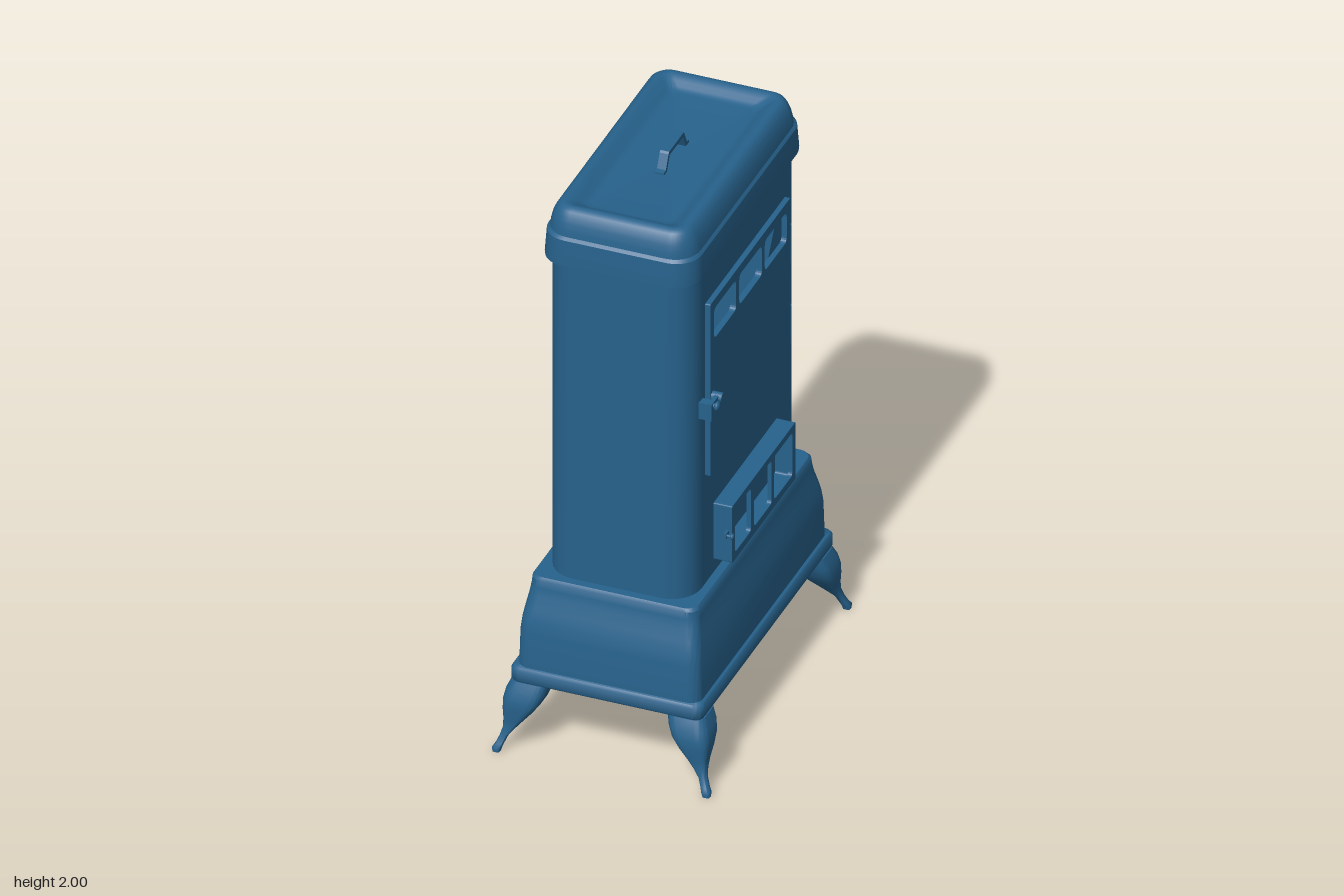
import * as THREE from 'three';
import { toCreasedNormals } from 'three/addons/utils/BufferGeometryUtils.js';

const enamel = new THREE.MeshStandardMaterial({ color: 0x27628c, side: THREE.DoubleSide });
enamel.name = 'blue enamel';

// Rounded rectangle section, starting and ending on the +x side
function ring({ y, hx, hz, r, cx = 0, cz = 0 }, steps = 8) {
  const pts = [];
  const corners = [[1, 1], [-1, 1], [-1, -1], [1, -1]];
  corners.forEach(([sx, sz], c) => {
    for (let i = 0; i <= steps; i++) {
      const a = (c + i / steps) * Math.PI / 2;
      pts.push(new THREE.Vector3(
        cx + sx * (hx - r) + r * Math.cos(a), y, cz + sz * (hz - r) + r * Math.sin(a)));
    }
  });
  return pts;
}

// Skin over a stack of sections; an open skin leaves the +x side free
function loft(levels, closed = true, crease = 0.6) {
  const rings = levels.map((l) => ring(l));
  const n = rings[0].length;
  const pos = [];
  const tri = (...p) => p.forEach((v) => pos.push(v.x, v.y, v.z));
  const end = closed ? n : n - 1;
  for (let k = 0; k < rings.length - 1; k++) {
    for (let i = 0; i < end; i++) {
      const j = (i + 1) % n, a = rings[k], b = rings[k + 1];
      tri(a[i], b[i], a[j]);
      tri(a[j], b[i], b[j]);
    }
  }
  if (closed) {
    const caps = [[rings[0], levels[0], false], [rings[rings.length - 1], levels[levels.length - 1], true]];
    for (const [p, l, top] of caps) {
      const c = new THREE.Vector3(l.cx || 0, l.y, l.cz || 0);
      for (let i = 0; i < n; i++) {
        const j = (i + 1) % n;
        if (top) tri(c, p[j], p[i]); else tri(c, p[i], p[j]);
      }
    }
  }
  const g = new THREE.BufferGeometry();
  g.setAttribute('position', new THREE.Float32BufferAttribute(pos, 3));
  return toCreasedNormals(g, crease);
}

// Rounded rectangle outline in the plane of the doors (u = -z)
function panel(u0, u1, y0, y1, r, Type = THREE.Shape) {
  const s = new Type();
  s.moveTo(u0 + r, y0);
  s.lineTo(u1 - r, y0); s.quadraticCurveTo(u1, y0, u1, y0 + r);
  s.lineTo(u1, y1 - r); s.quadraticCurveTo(u1, y1, u1 - r, y1);
  s.lineTo(u0 + r, y1); s.quadraticCurveTo(u0, y1, u0, y1 - r);
  s.lineTo(u0, y0 + r); s.quadraticCurveTo(u0, y0, u0 + r, y0);
  return s;
}
const hole = (...a) => panel(...a, THREE.Path);

// Plate standing on the +x side from x0 outwards
function plate(shape, holes, x0, depth) {
  shape.holes.push(...holes);
  const g = new THREE.ExtrudeGeometry(shape, { depth, bevelEnabled: false, curveSegments: 5 });
  return g.rotateY(Math.PI / 2).translate(x0, 0, 0);
}

export function createModel() {
  const model = new THREE.Group();
  model.name = 'heatingStove';
  const add = (name, geo, x = 0, y = 0, z = 0) => {
    const m = new THREE.Mesh(geo, enamel);
    m.name = name;
    m.position.set(x, y, z);
    model.add(m);
    return m;
  };

  // Plinth slab and flared base
  add('plinth', loft([
    { y: 0.25, hx: 0.32, hz: 0.555, r: 0.025 },
    { y: 0.257, hx: 0.325, hz: 0.56, r: 0.03 },
    { y: 0.293, hx: 0.325, hz: 0.56, r: 0.03 },
    { y: 0.302, hx: 0.318, hz: 0.553, r: 0.025 },
  ], true, 0.9));
  const base = [[0.3, 0.308, 0.545], [0.43, 0.305, 0.541], [0.47, 0.301, 0.535], [0.51, 0.294, 0.524],
    [0.55, 0.287, 0.51], [0.58, 0.283, 0.503], [0.605, 0.281, 0.5], [0.615, 0.274, 0.493]];
  add('flaredBase', loft(base.map(([y, hx, hz]) => ({ y, hx, hz, r: 0.04 }))));

  // Curved corner legs: height, inner edge, outer edge
  const legProfile = [[0, 0.342, 0.366], [0.015, 0.338, 0.367], [0.03, 0.332, 0.358], [0.055, 0.322, 0.348],
    [0.08, 0.302, 0.342], [0.11, 0.277, 0.342], [0.145, 0.247, 0.346], [0.18, 0.222, 0.347],
    [0.215, 0.208, 0.34], [0.25, 0.2, 0.325]];
  for (const sx of [1, -1]) {
    for (const sz of [1, -1]) {
      add('leg', loft(legProfile.map(([y, a, b]) => {
        const h = (b - a) / 2, c = (a + b) / 2;
        return { y, hx: h, hz: h, r: h * 0.55, cx: sx * c, cz: sz * (c + 0.233) };
      }), true, 0.9));
    }
  }

  // Hollow body with a pierced door side
  const bodyLevel = (y) => ({ y, hx: 0.247, hz: 0.465, r: 0.1 });
  add('bodyShell', loft([bodyLevel(0.61), bodyLevel(1.79)], false));
  const side = panel(-0.365, 0.365, 0.61, 1.79, 0);
  side.holes.push(hole(-0.31, 0.31, 1.5, 1.63, 0.01), hole(-0.25, 0.25, 0.68, 0.86, 0.01));
  add('bodyDoorSide', new THREE.ShapeGeometry(side).rotateY(Math.PI / 2), 0.247);

  // Lid with sloping rim, rounded shoulder and dished top
  add('lidRim', loft([
    { y: 1.78, hx: 0.262, hz: 0.48, r: 0.085 },
    { y: 1.79, hx: 0.263, hz: 0.48, r: 0.085 },
    { y: 1.872, hx: 0.258, hz: 0.475, r: 0.085 },
    { y: 1.882, hx: 0.25, hz: 0.467, r: 0.08 },
  ]));
  const lid = [[1.875, 0.251], [1.9, 0.248], [1.925, 0.242], [1.945, 0.234], [1.96, 0.224], [1.968, 0.213],
    [1.97, 0.202], [1.967, 0.19], [1.958, 0.175], [1.947, 0.16], [1.94, 0.148], [1.938, 0.135]];
  add('lidTop', loft(lid.map(([y, h]) => ({ y, hx: h, hz: h + 0.217, r: Math.max(0.03, h - 0.165) }))));

  // Strap handle on the lid
  const strap = new THREE.Shape();
  [[-0.105, 1.936], [-0.08, 1.936], [-0.056, 1.986], [0.056, 1.986], [0.08, 1.936], [0.105, 1.936],
    [0.105, 1.946], [0.088, 1.948], [0.066, 1.994], [0.06, 2], [-0.06, 2], [-0.066, 1.994],
    [-0.088, 1.948], [-0.105, 1.946]].forEach(([u, y], i) => (i ? strap.lineTo(u, y) : strap.moveTo(u, y)));
  add('lidHandle', plate(strap, [], -0.015, 0.03));

  // Upper door with three windows and two hinges
  const upperWindows = [[-0.305, -0.12], [-0.095, 0.095], [0.118, 0.302]]
    .map(([a, b]) => hole(a, b, 1.51, 1.622, 0.02));
  add('upperDoor', plate(panel(-0.335, 0.335, 1.015, 1.655, 0.006), upperWindows, 0.245, 0.02));
  const hinge = (name, y, h, z, x) => add(name, new THREE.CylinderGeometry(0.009, 0.009, h, 12), x, y, z);
  hinge('upperDoorHinge', 1.48, 0.14, -0.341, 0.256);
  hinge('upperDoorHinge', 1.18, 0.14, -0.341, 0.256);

  // Latch: keeper, turning bar, pivot and knob
  add('latchKeeper', new THREE.BoxGeometry(0.045, 0.06, 0.03), 0.267, 1.287, 0.37);
  add('latchBar', new THREE.BoxGeometry(0.014, 0.022, 0.075), 0.283, 1.308, 0.345);
  add('latchPivot', new THREE.CylinderGeometry(0.016, 0.016, 0.04, 16).rotateZ(Math.PI / 2), 0.28, 1.308, 0.317);
  add('latchStem', new THREE.CylinderGeometry(0.008, 0.008, 0.03, 12).rotateZ(Math.PI / 2), 0.292, 1.308, 0.37);
  add('latchKnob', new THREE.SphereGeometry(0.015, 14, 10).scale(0.6, 1.1, 1.1), 0.302, 1.308, 0.37);

  // Ash door: box frame, front grille, hinge and small knob
  add('ashDoorFrame', plate(panel(-0.265, 0.265, 0.663, 0.873, 0.006),
    [hole(-0.25, 0.25, 0.678, 0.858, 0.01)], 0.245, 0.05));
  const lowerWindows = [[-0.242, -0.108], [-0.082, 0.065], [0.085, 0.238]]
    .map(([a, b]) => hole(a, b, 0.69, 0.85, 0.015));
  add('ashDoorGrille', plate(panel(-0.265, 0.265, 0.663, 0.873, 0.006), lowerWindows, 0.295, 0.015));
  hinge('ashDoorHinge', 0.768, 0.14, -0.265, 0.295);
  add('ashDoorCatch', new THREE.BoxGeometry(0.01, 0.018, 0.03), 0.295, 0.775, 0.275);
  add('ashDoorStem', new THREE.CylinderGeometry(0.005, 0.005, 0.03, 10).rotateZ(Math.PI / 2), 0.307, 0.775, 0.284);
  add('ashDoorKnob', new THREE.SphereGeometry(0.011, 12, 8).scale(0.6, 1, 1), 0.318, 0.775, 0.284);

  return model;
}
